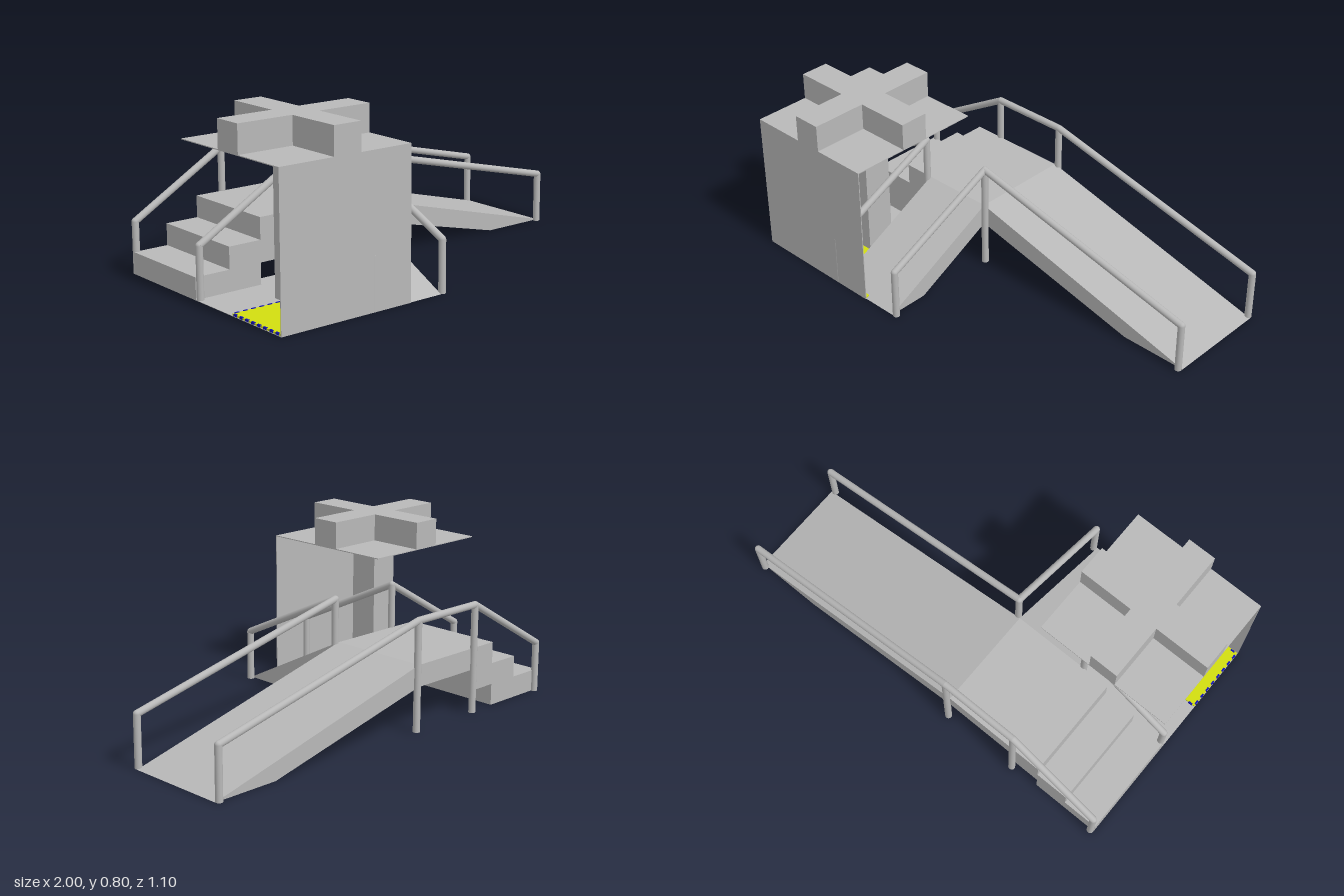
import * as THREE from 'three';

const grey = new THREE.MeshStandardMaterial({ color: 0xb8b8b8, side: THREE.DoubleSide });
grey.name = 'concrete grey';
const yellow = new THREE.MeshStandardMaterial({ color: 0xd2de10 });
yellow.name = 'floor marking yellow';
const blue = new THREE.MeshStandardMaterial({ color: 0x1414b4 });
blue.name = 'border blue';

const RAIL_R = 0.016;
const FAR_Z = -0.535, NEAR_Z = -0.035;   // rail lines along the landing
const OUT_X = -0.155, IN_X = -0.53;      // rail lines along the short ramp
const LOW = 0.235, HIGH = 0.503;         // rail heights

function add(parent, name, geometry, material) {
  const mesh = new THREE.Mesh(geometry, material);
  mesh.name = name;
  parent.add(mesh);
  return mesh;
}

// Box given by its minimum and maximum corners
function box(parent, name, [x0, y0, z0], [x1, y1, z1], material = grey) {
  const mesh = add(parent, name, new THREE.BoxGeometry(x1 - x0, y1 - y0, z1 - z0), material);
  mesh.position.set((x0 + x1) / 2, (y0 + y1) / 2, (z0 + z1) / 2);
  return mesh;
}

// Side profile pulled out to a width
function prism(parent, name, points, depth) {
  const shape = new THREE.Shape(points.map(([x, y]) => new THREE.Vector2(x, y)));
  return add(parent, name, new THREE.ExtrudeGeometry(shape, { depth, bevelEnabled: false }), grey);
}

function rod(parent, name, a, b) {
  const mesh = add(parent, name, new THREE.CylinderGeometry(RAIL_R, RAIL_R, a.distanceTo(b), 16), grey);
  mesh.position.copy(a).lerp(b, 0.5);
  mesh.quaternion.setFromUnitVectors(new THREE.Vector3(0, 1, 0), b.clone().sub(a).normalize());
}

// Handrail through the given points, with a post down to the ground at each
function railing(parent, name, points) {
  const group = new THREE.Group();
  group.name = name;
  const pts = points.map(p => new THREE.Vector3(...p));
  pts.forEach((p, i) => {
    rod(group, 'post', new THREE.Vector3(p.x, 0, p.z), p);
    add(group, 'joint', new THREE.SphereGeometry(RAIL_R, 16, 10), grey).position.copy(p);
    if (i) rod(group, 'handrail', pts[i - 1], p);
  });
  parent.add(group);
}

// Row of short dashes around the edge of the floor marking
function dashes(parent, x0, z0, x1, z1) {
  const length = Math.hypot(x1 - x0, z1 - z0), n = Math.round(length / 0.04);
  for (let i = 0; i < n; i++) {
    const t = (i + 0.5) / n, x = x0 + (x1 - x0) * t, z = z0 + (z1 - z0) * t;
    const hx = x0 === x1 ? 0.004 : 0.01, hz = z0 === z1 ? 0.004 : 0.01;
    box(parent, 'borderDash', [x - hx, 0.002, z - hz], [x + hx, 0.012, z + hz], blue);
  }
}

export function createModel() {
  const model = new THREE.Group();
  model.name = 'accessRampAndShelter';

  // Shelter: floor, front wall, pillar, roof and cross-shaped beams
  const shelter = new THREE.Group();
  shelter.name = 'shelter';
  model.add(shelter);
  box(shelter, 'floor', [-1, 0, -0.12], [-0.34, 0.002, 0.547]);
  box(shelter, 'frontWall', [-1, 0, 0.545], [-0.34, 0.672, 0.549]);
  box(shelter, 'pillar', [-0.735, 0, 0.145], [-0.6, 0.67, 0.283]);
  box(shelter, 'roof', [-1, 0.669, -0.12], [-0.34, 0.673, 0.549]);
  box(shelter, 'longBeam', [-0.735, 0.671, -0.12], [-0.6, 0.798, 0.549]);
  box(shelter, 'leftBeam', [-0.6, 0.671, 0.145], [-0.34, 0.798, 0.283]);
  box(shelter, 'rightBeam', [-1, 0.671, 0.145], [-0.735, 0.798, 0.283]);

  // Floor marking with its dashed border
  box(shelter, 'floorMarking', [-0.997, 0.002, 0.215], [-0.342, 0.01, 0.545], yellow);
  dashes(shelter, -0.995, 0.215, -0.345, 0.215);
  dashes(shelter, -0.995, 0.54, -0.345, 0.54);
  dashes(shelter, -0.995, 0.215, -0.995, 0.54);

  // Overlapping steps up to the landing
  const z0 = -0.53, z1 = -0.045;
  box(model, 'lowerStep', [-1, 0, z0], [-0.67, 0.1, z1]);
  box(model, 'upperStep', [-0.83, 0.1, z0], [-0.52, 0.2, z1]);
  box(model, 'landing', [-0.67, 0.2, z0], [-0.17, 0.3, z1]);

  // Long ramp to the side
  prism(model, 'longRamp', [[-0.17, 0.2], [0.68, 0], [1, 0], [-0.17, 0.3]], z1 - z0).position.z = z0;

  // Short ramp to the front
  const shortRamp = prism(model, 'shortRamp', [[z1, 0.2], [0.35, 0], [0.545, 0], [z1, 0.3]], 0.35);
  shortRamp.rotation.y = -Math.PI / 2;
  shortRamp.position.x = -0.17;

  // Railings along the back, the inner corner and the outer corner
  railing(model, 'backRailing', [
    [0.984, LOW, FAR_Z], [OUT_X, HIGH, FAR_Z], [IN_X, HIGH, FAR_Z], [-0.984, LOW, FAR_Z]]);
  railing(model, 'outerRailing', [
    [0.984, LOW, NEAR_Z], [OUT_X, HIGH, NEAR_Z], [OUT_X, LOW, 0.534]]);
  railing(model, 'innerRailing', [
    [-0.984, LOW, NEAR_Z], [IN_X, HIGH, NEAR_Z], [IN_X, LOW, 0.534]]);

  return model;
}
